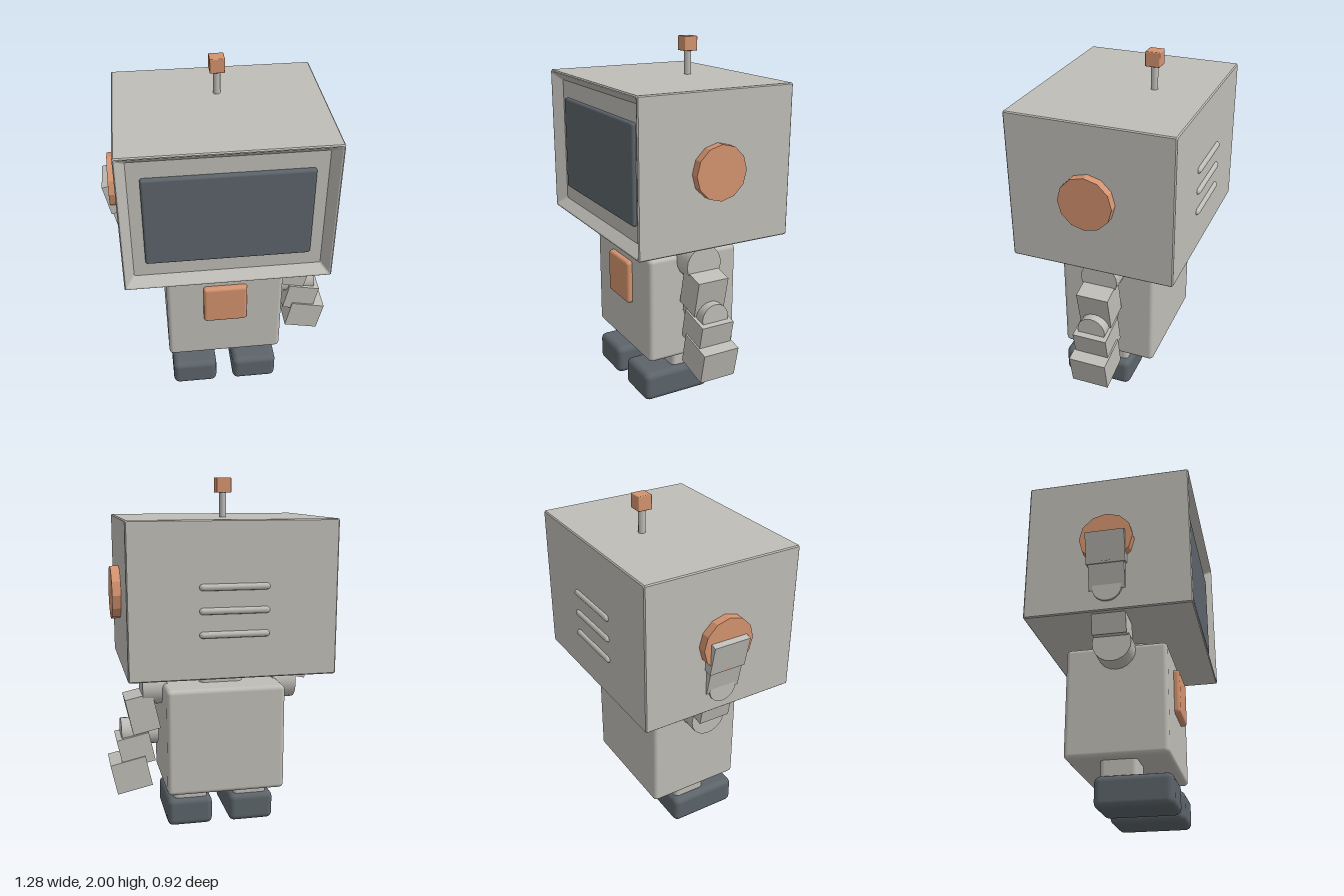
import * as THREE from 'three';
import { RoundedBoxGeometry } from 'three/addons/geometries/RoundedBoxGeometry.js';

// Closed shell made of chamfered rectangles [halfWidth, halfHeight, z], from back to front
function shellGeometry(rings, chamfer) {
  const loops = rings.map(([w, h, z]) => {
    const c = chamfer;
    return [
      [w, -h + c], [w, h - c], [w - c, h], [-w + c, h],
      [-w, h - c], [-w, -h + c], [-w + c, -h], [w - c, -h],
    ].map(([x, y]) => [x, y, z]);
  });
  const pos = [];
  const tri = (a, b, c) => pos.push(...a, ...b, ...c);
  const n = 8;
  for (let i = 0; i < loops.length - 1; i++) {
    for (let k = 0; k < n; k++) {
      const a = loops[i][k], b = loops[i][(k + 1) % n];
      const c = loops[i + 1][(k + 1) % n], d = loops[i + 1][k];
      tri(a, b, c);
      tri(a, c, d);
    }
  }
  const back = loops[0], front = loops[loops.length - 1];
  for (let k = 1; k < n - 1; k++) {
    tri(back[0], back[k + 1], back[k]);
    tri(front[0], front[k], front[k + 1]);
  }
  const g = new THREE.BufferGeometry();
  g.setAttribute('position', new THREE.Float32BufferAttribute(pos, 3));
  g.computeVertexNormals();
  return g;
}

export function createModel() {
  const material = (name, color) => {
    const m = new THREE.MeshStandardMaterial({ color });
    m.name = name;
    return m;
  };
  const grey = material('warm grey', 0xbfbdb7);
  const copper = material('copper', 0xd4936f);
  const slate = material('dark slate', 0x5c646a);

  const model = new THREE.Group();
  model.name = 'robot';

  const add = (name, geometry, mat, x, y, z, parent = model) => {
    const mesh = new THREE.Mesh(geometry, mat);
    mesh.name = name;
    mesh.position.set(x, y, z);
    parent.add(mesh);
    return mesh;
  };
  const rounded = (w, h, d, r) => new RoundedBoxGeometry(w, h, d, 3, r);
  const discX = (r, length, sides) =>
    new THREE.CylinderGeometry(r, r, length, sides).rotateZ(Math.PI / 2);

  const midZ = 0.012;

  // Head with a sloped recess in the front
  const head = new THREE.Group();
  head.name = 'head';
  model.add(head);
  add('headShell', shellGeometry([
    [0.552, 0.407, -0.443],
    [0.558, 0.413, -0.437],
    [0.558, 0.413, 0.454],
    [0.552, 0.407, 0.46],
    [0.545, 0.400, 0.458],
    [0.502, 0.357, 0.408],
  ], 0.006), grey, 0, 1.378, 0, head);
  add('screen', rounded(0.875, 0.53, 0.06, 0.014), slate, 0, 1.375, 0.402, head);

  // Ear discs
  for (const side of [1, -1]) {
    const ear = discX(0.147, 0.06, 12).toNonIndexed();
    ear.computeVertexNormals();
    add(side > 0 ? 'leftEar' : 'rightEar', ear, copper, side * 0.576, 1.378, midZ, head);
  }

  // Vent bars on the back
  for (const y of [1.45, 1.327, 1.203]) {
    const bar = new THREE.CapsuleGeometry(0.018, 0.338, 4, 10).rotateZ(Math.PI / 2);
    add('backVent', bar, grey, 0, y, -0.443, head);
  }

  // Antenna
  add('antennaStem', new THREE.CylinderGeometry(0.02, 0.02, 0.16, 8), grey, 0, 1.855, -0.135, head);
  add('antennaTip', rounded(0.08, 0.08, 0.08, 0.005), copper, 0, 1.96, -0.135, head);

  // Neck, torso and chest plate
  add('neck', rounded(0.25, 0.2, 0.245, 0.035), grey, 0, 0.92, midZ);
  add('torso', rounded(0.67, 0.61, 0.55, 0.025), grey, 0, 0.56, 0.01);
  add('chestPlate', rounded(0.25, 0.25, 0.06, 0.018), copper, 0, 0.665, 0.287);

  // Legs and feet
  for (const side of [1, -1]) {
    const prefix = side > 0 ? 'left' : 'right';
    add(prefix + 'Leg', rounded(0.195, 0.2, 0.195, 0.025), grey, side * 0.178, 0.215, midZ);
    add(prefix + 'Foot', rounded(0.265, 0.168, 0.41, 0.035), slate, side * 0.183, 0.084, 0.095);
  }

  // Arms: side mirrors x, reach is -1 for hanging and +1 for raised
  const buildArm = (name, side, reach) => {
    const arm = new THREE.Group();
    arm.name = name;
    arm.position.set(0, 0.832, midZ);
    model.add(arm);
    add('shoulder', discX(0.105, 0.14, 20), grey, side * 0.378, 0, 0, arm);
    add('elbow', discX(0.08, 0.21, 20), grey, side * 0.465, reach * 0.264, 0, arm);
    const blocks = [
      ['upperArm', 0.16, 0.212, 0.183, 0.448, 0.144],
      ['forearm', 0.188, 0.173, 0.195, 0.491, 0.356],
      ['hand', 0.206, 0.18, 0.213, 0.521, 0.5],
    ];
    for (const [part, w, h, d, x, reachY] of blocks) {
      const block = add(part, new THREE.BoxGeometry(w, h, d), grey, side * x, reach * reachY, 0, arm);
      block.rotation.z = -side * 0.215;
    }
  };
  buildArm('leftArm', 1, -1);
  buildArm('rightArm', -1, 1);

  return model;
}
